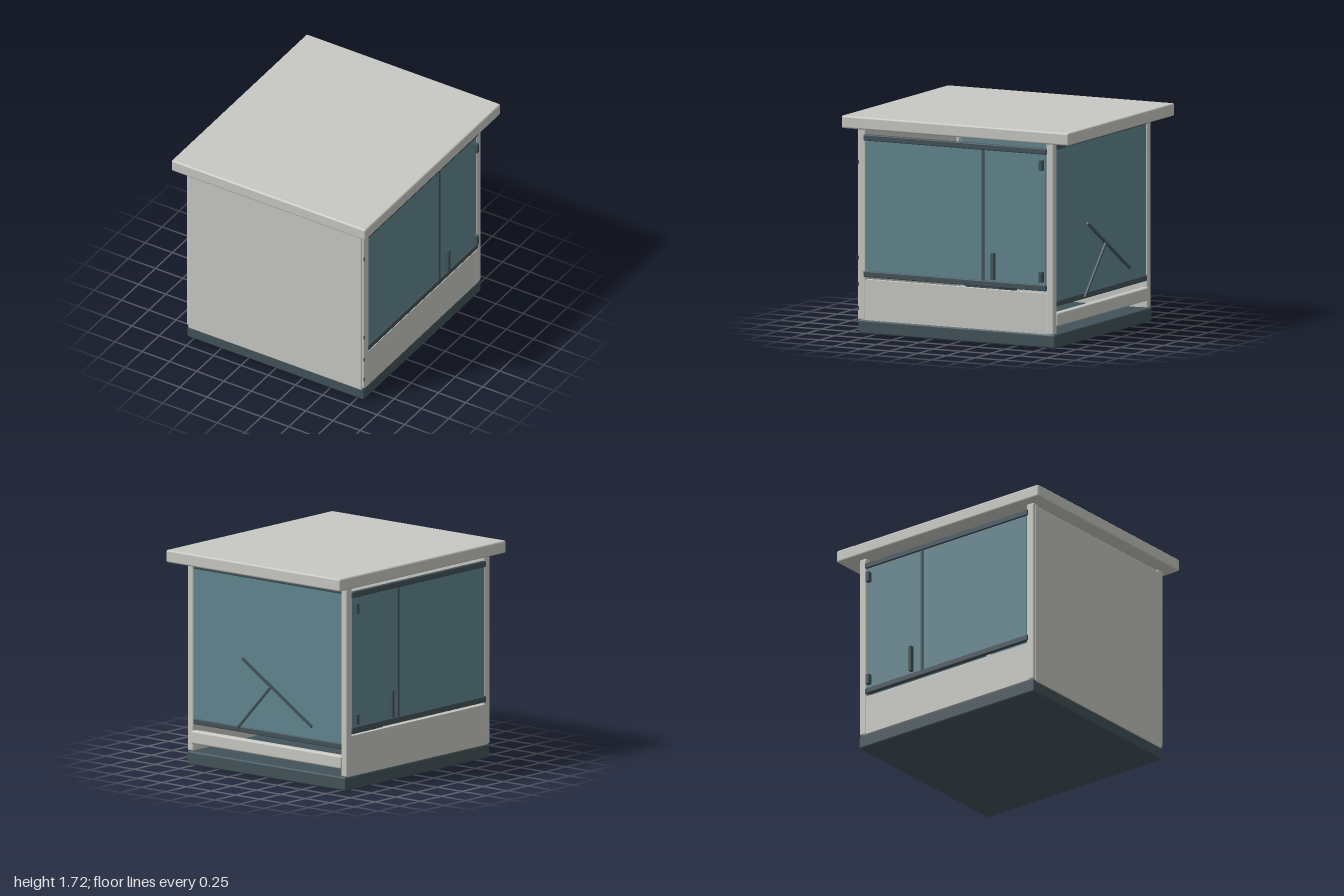
import * as THREE from 'three';
import { RoundedBoxGeometry } from 'three/addons/geometries/RoundedBoxGeometry.js';

export function createModel() {
  const root = new THREE.Group();
  root.name = 'cabin';
  const mat = (name, color) => {
    const m = new THREE.MeshStandardMaterial({ color });
    m.name = name;
    return m;
  };
  const shell = mat('pale grey', 0xc8c9c3);
  const dark = mat('dark slate', 0x425359);
  const glass = mat('blue glass', 0x61858e);

  // Box given by its limits on each axis; r > 0 rounds the edges
  const box = (name, material, [x0, x1], [y0, y1], [z0, z1], r = 0) => {
    const s = [x1 - x0, y1 - y0, z1 - z0];
    const geo = r ? new RoundedBoxGeometry(...s, 2, r) : new THREE.BoxGeometry(...s);
    const mesh = new THREE.Mesh(geo, material);
    mesh.name = name;
    mesh.position.set((x0 + x1) / 2, (y0 + y1) / 2, (z0 + z1) / 2);
    root.add(mesh);
    return mesh;
  };
  // Same box on the +x or -x side
  const sideBox = (s, name, material, [a, b], y, z, r) =>
    box(name, material, s > 0 ? [a, b] : [-b, -a], y, z, r);

  // Main shell
  box('base', dark, [-0.81, 0.81], [0, 0.11], [-0.84, 0.895], 0.015);
  box('roof', shell, [-0.89, 0.89], [1.62, 1.72], [-1, 1], 0.015);
  box('frontPanel', shell, [-0.795, 0.795], [0.09, 1.6], [0.85, 0.902], 0.012);

  for (const s of [1, -1]) {
    const side = s > 0 ? 'left' : 'right';
    // Corner posts and lower wall
    sideBox(s, side + 'FrontPost', shell, [0.75, 0.815], [0.11, 1.62], [0.825, 0.895], 0.012);
    sideBox(s, side + 'RearPost', shell, [0.755, 0.815], [0.11, 1.62], [-0.83, -0.765], 0.012);
    sideBox(s, side + 'LowerWall', shell, [0.775, 0.812], [0.11, 0.43], [-0.8, 0.86]);

    // Side window and door glass
    sideBox(s, side + 'Window', glass, [0.8, 0.812], [0.48, 1.55], [-0.205, 0.825]);
    sideBox(s, side + 'DoorGlass', glass, [0.8, 0.812], [0.48, 1.55], [-0.76, -0.215]);
    sideBox(s, side + 'TopRail', dark, [0.79, 0.825], [1.525, 1.573], [-0.77, 0.84], 0.008);
    sideBox(s, side + 'BottomRail', dark, [0.79, 0.825], [0.45, 0.498], [-0.77, 0.84], 0.008);
    sideBox(s, side + 'Mullion', dark, [0.795, 0.82], [0.49, 1.53], [-0.22, -0.2]);

    // Door handle and hinges
    sideBox(s, side + 'Handle', dark, [0.81, 0.85], [0.51, 0.72], [-0.32, -0.295]);
    for (const y of [0.52, 1.4])
      sideBox(s, side + 'Hinge', dark, [0.81, 0.85], [y, y + 0.08], [-0.745, -0.715]);
  }

  // Small latches on one front edge
  for (const y of [0.2, 0.39, 0.6, 1.35])
    box('panelLatch', dark, [0.8, 0.817], [y - 0.016, y + 0.016], [0.884, 0.894]);

  // Rear window with rails and a bumper bar
  box('rearWindow', glass, [-0.757, 0.757], [0.35, 1.58], [-0.818, -0.806]);
  box('rearTopRail', dark, [-0.757, 0.757], [1.56, 1.6], [-0.828, -0.795], 0.008);
  box('rearBottomRail', dark, [-0.757, 0.757], [0.325, 0.37], [-0.828, -0.795], 0.008);
  box('rearBar', shell, [-0.77, 0.77], [0.17, 0.275], [-0.842, -0.78], 0.015);

  // Wiper made of straight bars between two points on the rear window
  const bar = (name, [x0, y0], [x1, y1], z, w) => {
    const mesh = new THREE.Mesh(
      new THREE.BoxGeometry(Math.hypot(x1 - x0, y1 - y0), w, 0.015), dark);
    mesh.name = name;
    mesh.position.set((x0 + x1) / 2, (y0 + y1) / 2, z);
    mesh.rotation.z = Math.atan2(y1 - y0, x1 - x0);
    root.add(mesh);
  };
  bar('wiperBlade', [0.25, 0.915], [-0.46, 0.465], -0.831, 0.02);
  bar('wiperArm', [-0.04, 0.72], [0.31, 0.34], -0.839, 0.016);

  // Seat inside
  box('seatCushion', dark, [-0.25, 0.25], [0.43, 0.52], [-0.12, 0.42], 0.02);
  box('seatPedestal', dark, [-0.15, 0.15], [0.11, 0.44], [0, 0.3]);

  return root;
}
